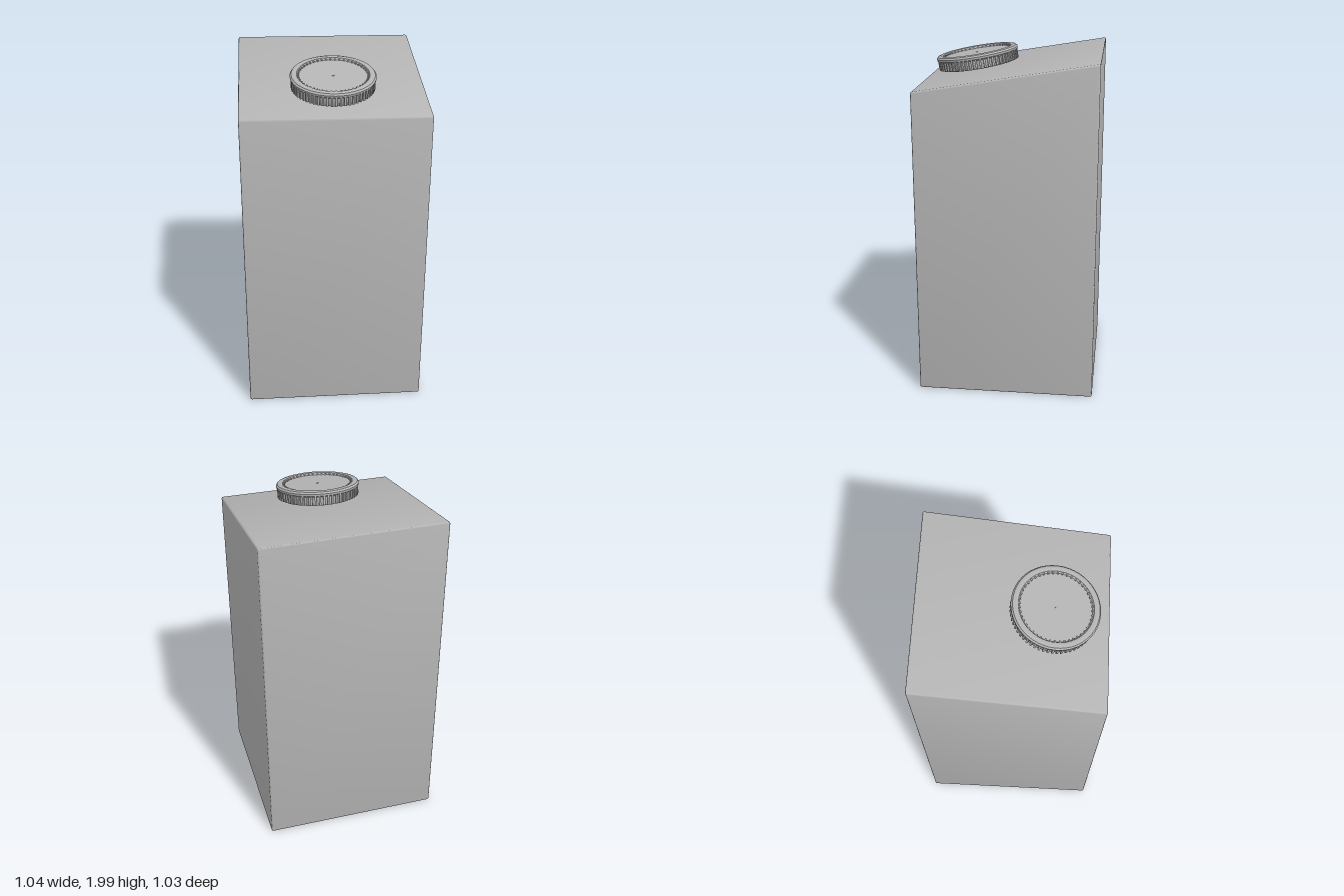
import * as THREE from 'three';
import { toCreasedNormals } from 'three/addons/utils/BufferGeometryUtils.js';
import { RoundedBoxGeometry } from 'three/addons/geometries/RoundedBoxGeometry.js';

const SLOPE = 0.166; // rise of the roof per unit of depth

export function createModel() {
  const grey = new THREE.MeshStandardMaterial({ color: 0xb4b4b4 });
  grey.name = 'plain grey';
  const model = new THREE.Group();
  const add = (parent, name, geometry) => {
    const mesh = new THREE.Mesh(geometry, grey);
    mesh.name = name;
    parent.add(mesh);
    return mesh;
  };

  // Carton body: a softly bevelled box with a sloping roof and slight sideways flare
  const body = new RoundedBoxGeometry(1.035, 1.8, 1.03, 2, 0.01);
  const p = body.attributes.position;
  for (let i = 0; i < p.count; i++) {
    const x = p.getX(i), y = p.getY(i), z = p.getZ(i);
    const up = y > 0 ? 1 : 0;
    p.setX(i, x + (x > 0 ? 0.008 * up - 0.008 : -0.007));
    p.setY(i, y + 0.9 + up * ((0.515 - z) * SLOPE - 0.006 * x));
  }
  add(model, 'cartonBody', toCreasedNormals(body, 0.5));

  // Screw cap, hovering just over the roof and tilted with it
  const cap = new THREE.Group();
  cap.name = 'screwCap';
  cap.position.set(0, 1.875, 0.212);
  cap.rotation.x = Math.atan(SLOPE);
  model.add(cap);

  // Underside, wall, rounded rim and recessed lid
  const profile = [
    [0, 0], [0.222, 0], [0.225, 0.005], [0.227, 0.05], [0.238, 0.058], [0.24, 0.07],
    [0.232, 0.08], [0.215, 0.085], [0.202, 0.081], [0.195, 0.07], [0, 0.07],
  ].map(([r, y]) => new THREE.Vector2(r, y));
  add(cap, 'capShell', toCreasedNormals(new THREE.LatheGeometry(profile, 48), 0.6));

  // Grip ribs around the wall and short teeth inside the rim
  const ring = (name, count, radius, y, size) => {
    const group = new THREE.Group();
    group.name = name;
    cap.add(group);
    const geometry = new THREE.BoxGeometry(...size);
    for (let i = 0; i < count; i++) {
      const a = (i / count) * Math.PI * 2;
      const rib = add(group, name + 'Piece', geometry);
      rib.position.set(Math.sin(a) * radius, y, Math.cos(a) * radius);
      rib.rotation.y = a;
    }
  };
  ring('gripRibs', 60, 0.227, 0.031, [0.011, 0.054, 0.016]);
  ring('rimTeeth', 48, 0.196, 0.073, [0.008, 0.008, 0.014]);

  // Small moulding mark at the lid centre
  const mark = add(cap, 'lidCentreMark', new THREE.CylinderGeometry(0.006, 0.006, 0.004, 12));
  mark.position.y = 0.071;

  return model;
}
